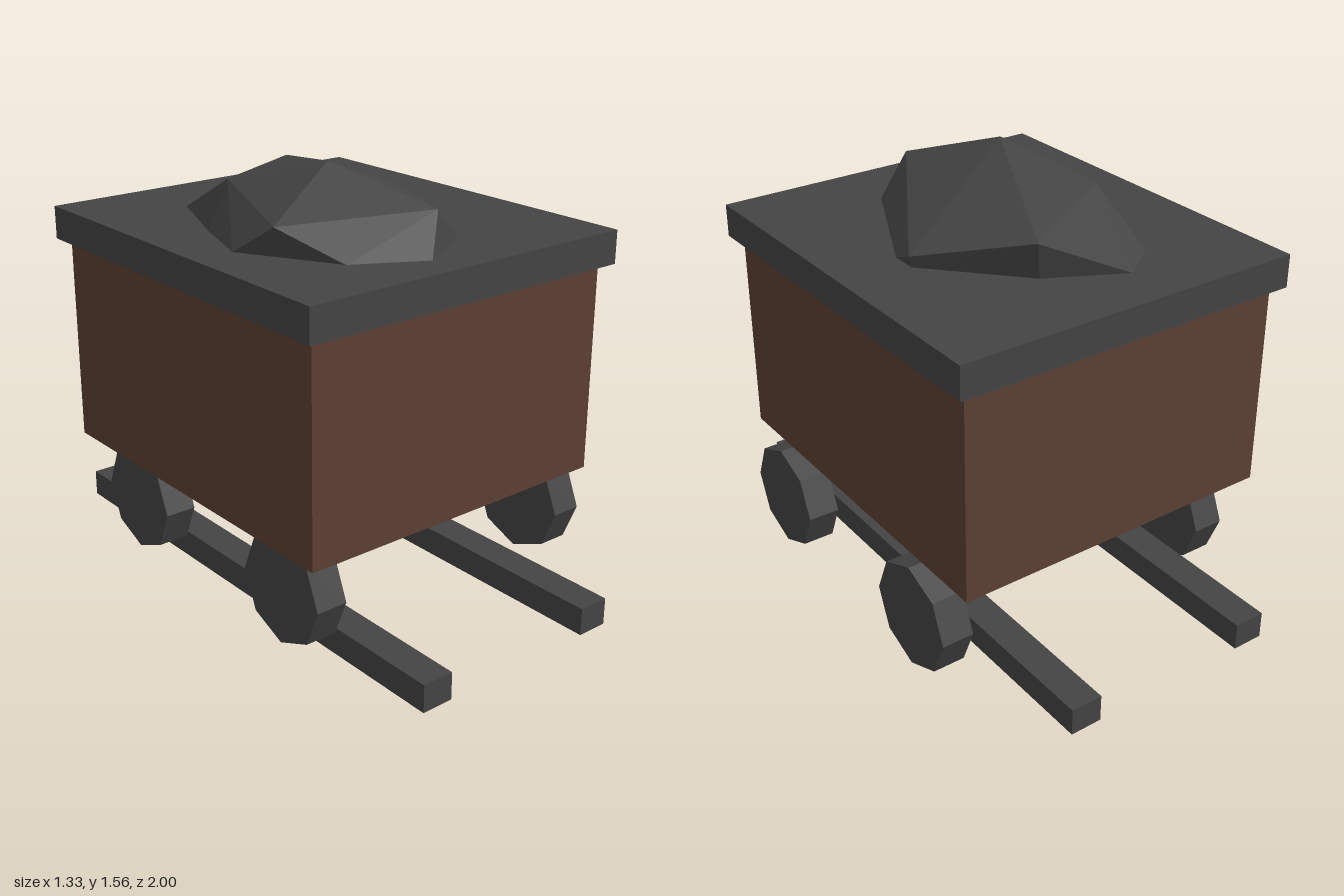
import * as THREE from 'three';
import { ConvexGeometry } from 'three/addons/geometries/ConvexGeometry.js';

export function createModel() {
  const group = new THREE.Group();
  const iron = new THREE.MeshStandardMaterial({ color: 0x444444, flatShading: true });
  iron.name = 'dark iron';
  const wood = new THREE.MeshStandardMaterial({ color: 0x5c4033, flatShading: true });
  wood.name = 'brown wood';

  const add = (name, geometry, material, x, y, z) => {
    const mesh = new THREE.Mesh(geometry, material);
    mesh.name = name;
    mesh.position.set(x, y, z);
    group.add(mesh);
    return mesh;
  };

  // Wooden tub and its overhanging rim
  add('tub', new THREE.BoxGeometry(1.24, 0.76, 1.4), wood, -0.008, 0.81, 0);
  add('rim', new THREE.BoxGeometry(1.318, 0.12, 1.48), iron, -0.007, 1.25, 0);

  // Pair of rails
  const railGeometry = new THREE.BoxGeometry(0.118, 0.1, 2);
  add('leftRail', railGeometry, iron, 0.354, 0.05, 0);
  add('rightRail', railGeometry, iron, -0.369, 0.05, 0);

  // Four octagonal wheels
  const wheelGeometry = new THREE.CylinderGeometry(0.198, 0.198, 0.118, 8).rotateZ(Math.PI / 2);
  for (const [side, x] of [['Left', 0.604], ['Right', -0.5]]) {
    for (const [end, z] of [['front', 0.44], ['back', -0.44]]) {
      add(`${end}${side}Wheel`, wheelGeometry, iron, x, 0.232, z);
    }
  }

  // Faceted ore heap: upper corners, then the outline where it meets the rim
  const upper = [
    [-0.15, 1.56, 0.18], [-0.455, 1.41, 0.29], [0.02, 1.44, 0.53],
    [0.413, 1.35, -0.1], [0.14, 1.44, -0.425], [-0.305, 1.46, -0.17],
  ];
  const outline = [
    [-0.15, -0.55], [0.12, -0.41], [0.404, -0.1], [0.402, 0], [0.17, 0.47],
    [-0.085, 0.622], [-0.325, 0.49], [-0.515, 0.15], [-0.43, -0.11], [-0.3, -0.44],
  ];
  const corners = [...upper, ...outline.map(([x, z]) => [x, 1.309, z])];
  add('oreHeap', new ConvexGeometry(corners.map((p) => new THREE.Vector3(...p))), iron, 0, 0, 0);

  return group;
}
